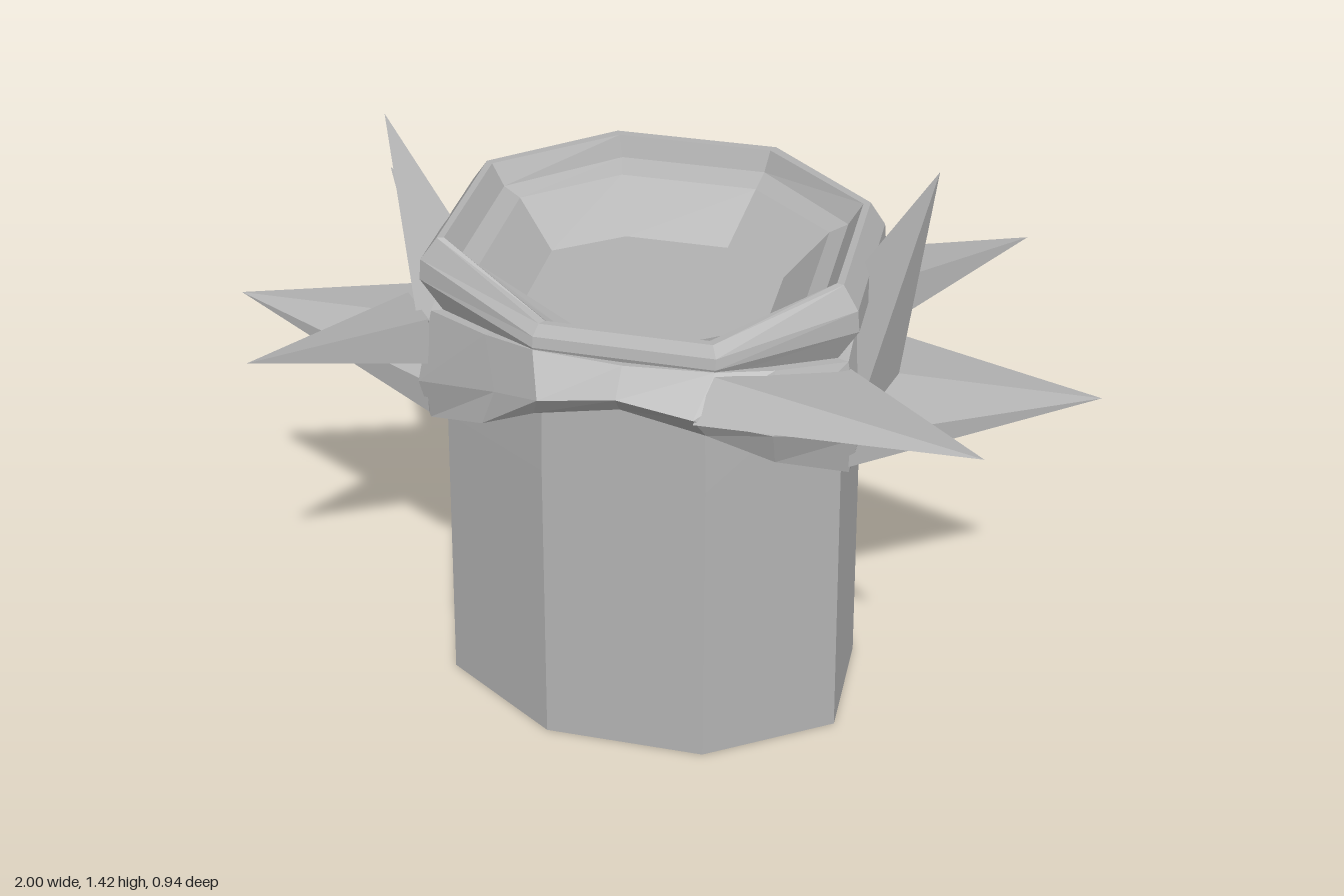
import * as THREE from 'three';
import { ConvexGeometry } from 'three/addons/geometries/ConvexGeometry.js';

const grey = new THREE.MeshStandardMaterial({ color: 0xb2b2b2, side: THREE.DoubleSide, flatShading: true });
grey.name = 'plain grey';

// Closes a half outline (front to back, x >= 0) with its mirror image.
function mirrorRing(half) {
  const other = half.filter(p => p[0] > 0).map(([x, y, z]) => [-x, y, z]).reverse();
  return half.concat(other);
}

// Skins a stack of equal rings; can cap the last ring.
function loft(rings, cap = false) {
  const pos = [];
  const n = rings[0].length;
  for (let r = 0; r < rings.length - 1; r++) {
    const a = rings[r], b = rings[r + 1];
    for (let i = 0; i < n; i++) {
      const j = (i + 1) % n;
      pos.push(...a[i], ...a[j], ...b[j], ...a[i], ...b[j], ...b[i]);
    }
  }
  if (cap) {
    const top = rings[rings.length - 1];
    for (let i = 1; i < n - 1; i++) pos.push(...top[0], ...top[i], ...top[i + 1]);
  }
  const geo = new THREE.BufferGeometry();
  geo.setAttribute('position', new THREE.Float32BufferAttribute(pos, 3));
  geo.computeVertexNormals();
  return geo;
}

// Eight-sided ring: side half width, end half width, four depths, three heights.
function octagon(hx, fx, zFront, zSideF, zSideB, zBack, yFront, ySide, yBack) {
  return mirrorRing([
    [fx, yFront, zFront], [hx, ySide, zSideF], [hx, ySide, zSideB], [fx, yBack, zBack],
  ]);
}

const level = (hx, fx, hz, zs, y) => octagon(hx, fx, hz, zs, -zs, -hz, y, y, y);

export function createModel() {
  const model = new THREE.Group();
  const add = (name, geo) => {
    const mesh = new THREE.Mesh(geo, grey);
    mesh.name = name;
    model.add(mesh);
    return mesh;
  };

  // Hollow, slightly tapered tube
  const inner = level(0.415, 0.165, 0.272, 0.12, 0);
  add('tube', loft([
    inner,
    level(0.475, 0.19, 0.325, 0.145, 0),
    level(0.456, 0.185, 0.312, 0.142, 0.75),
    level(0.45, 0.18, 0.305, 0.14, 1.0),
    level(0.4, 0.16, 0.26, 0.12, 1.0),
    inner,
  ]));

  // Seam down the back
  const seam = add('backSeam', new THREE.BoxGeometry(0.04, 0.62, 0.02));
  seam.position.set(0, 0.35, -0.322);

  // Draped collar: arched at the front, hanging low at the back
  const low = mirrorRing([
    [0, 0.955, 0.335], [0.19, 0.92, 0.34], [0.33, 0.83, 0.275], [0.48, 0.77, 0.19], [0.49, 0.75, 0],
    [0.48, 0.71, -0.19], [0.34, 0.64, -0.29], [0.19, 0.585, -0.345], [0, 0.57, -0.37],
  ]);
  const mid = mirrorRing([
    [0, 1.0, 0.37], [0.17, 0.98, 0.38], [0.33, 0.92, 0.31], [0.5, 0.87, 0.2], [0.53, 0.92, 0],
    [0.5, 0.92, -0.2], [0.35, 0.86, -0.31], [0.19, 0.82, -0.382], [0, 0.87, -0.382],
  ]);
  const top = mirrorRing([
    [0, 1.05, 0.31], [0.2, 1.055, 0.3], [0.32, 1.05, 0.255], [0.465, 1.05, 0.185], [0.465, 1.1, 0],
    [0.465, 1.04, -0.19], [0.34, 1.03, -0.28], [0.2, 1.02, -0.33], [0, 1.02, -0.335],
  ]);
  // Folds pressed into the two diagonal faces on one side
  mid.forEach((p, i) => {
    if (p[0] < -0.3 && p[0] > -0.4) mid[i] = [p[0] * 0.9, p[1], p[2] * 0.9];
  });
  const hem = low.map(([x, y, z]) => [x * 0.9, y + 0.02, z * 0.88]);
  const tuck = top.map(([x, y, z]) => [x * 0.88, y, z * 0.88]);
  add('collar', loft([hem, low, mid, top, tuck]));

  // Rolled rim, dipping at the front, with a shallow stepped basin
  add('rim', loft([
    octagon(0.43, 0.19, 0.29, 0.17, -0.18, -0.30, 1.03, 1.03, 1.01),
    octagon(0.485, 0.2, 0.30, 0.19, -0.2, -0.44, 1.06, 1.13, 1.135),
    octagon(0.48, 0.2, 0.295, 0.19, -0.2, -0.455, 1.085, 1.18, 1.195),
    octagon(0.445, 0.19, 0.28, 0.175, -0.2, -0.42, 1.11, 1.23, 1.23),
    octagon(0.43, 0.18, 0.265, 0.17, -0.19, -0.40, 1.11, 1.23, 1.23),
    octagon(0.40, 0.17, 0.255, 0.16, -0.18, -0.385, 1.095, 1.18, 1.18),
    octagon(0.36, 0.16, 0.235, 0.15, -0.17, -0.335, 1.085, 1.16, 1.16),
    octagon(0.27, 0.12, 0.21, 0.11, -0.11, -0.215, 1.065, 1.065, 1.065),
  ], true));

  // Spikes: tip first, then the base corners
  const spike = (name, points) =>
    add(name, new ConvexGeometry(points.map(p => new THREE.Vector3(...p))));

  for (const s of [1, -1]) {
    const side = s > 0 ? 'left' : 'right';
    spike(side + 'SideSpike', [
      [s, 0.92, 0], [s * 0.48, 0.79, 0.2], [s * 0.48, 0.87, 0.2], [s * 0.47, 0.755, 0],
      [s * 0.48, 0.715, -0.2], [s * 0.48, 0.91, -0.2], [s * 0.5, 0.92, 0],
    ]);
    spike(side + 'UprightSpike', [
      [s * 0.61, 1.425, 0], [s * 0.48, 0.87, 0.2], [s * 0.555, 0.92, 0],
      [s * 0.48, 0.99, -0.18], [s * 0.44, 1.16, 0.02],
    ]);
  }

  // Broad corner spikes on one side
  spike('leftFrontSpike', [
    [0.785, 1.04, 0.47], [0.48, 0.88, 0.2], [0.47, 1.03, 0.18], [0.17, 0.97, 0.38], [0.2, 1.05, 0.31],
  ]);
  spike('leftBackSpike', [
    [0.785, 1.04, -0.47], [0.5, 0.92, -0.2], [0.47, 1.03, -0.18], [0.22, 0.8, -0.375], [0.25, 0.99, -0.36],
  ]);

  // Narrow corner spikes on the other side
  for (const s of [1, -1]) {
    spike(s > 0 ? 'rightFrontSpike' : 'rightBackSpike', [
      [-0.785, 1.04, s * 0.47], [-0.47, 0.92, s * 0.2], [-0.47, 1.03, s * 0.19],
      [-0.57, 1.0, s * 0.04], [-0.51, 0.88, s * 0.08],
    ]);
  }

  return model;
}
